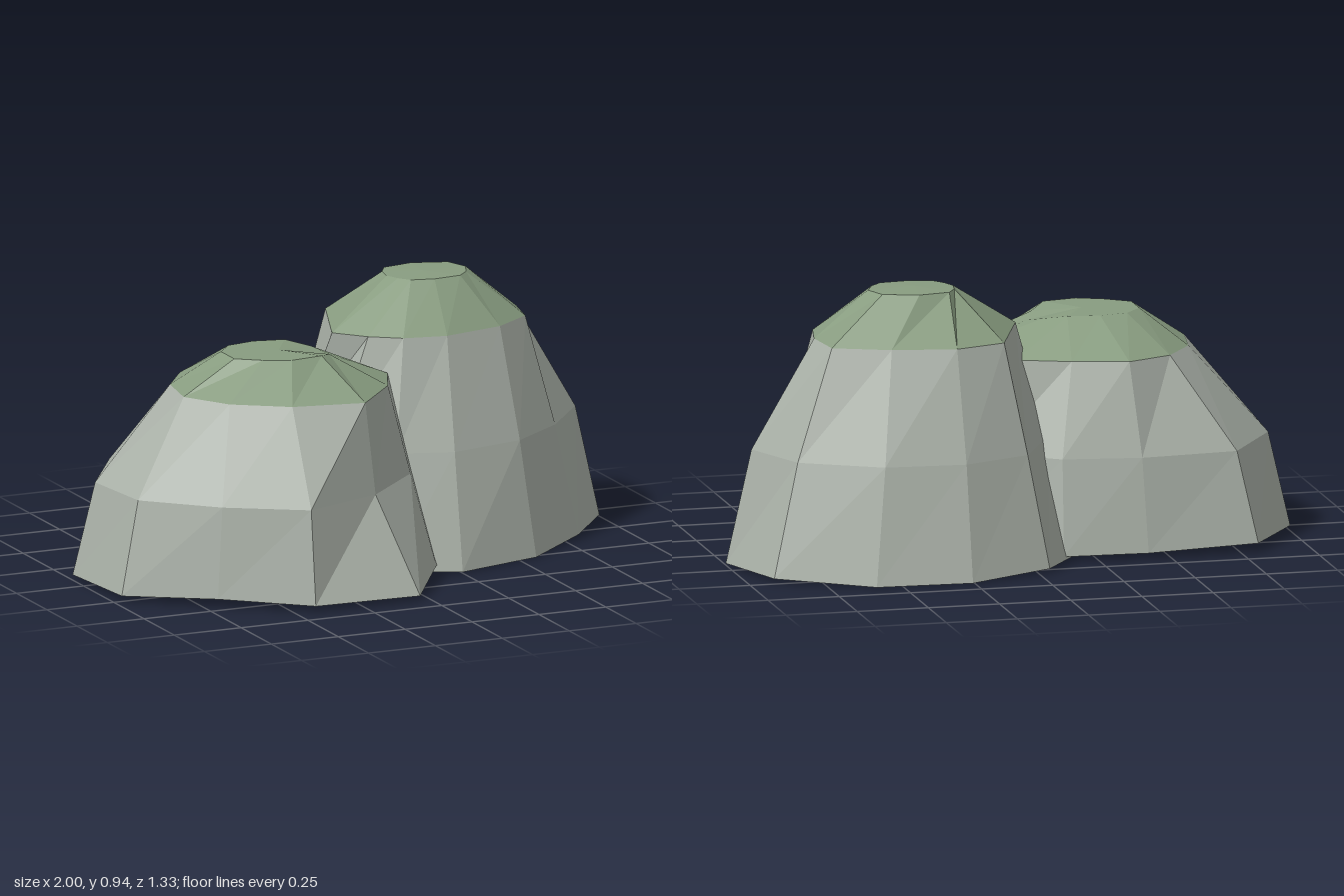
import * as THREE from 'three';

const mat = (name, color, side = THREE.FrontSide) => {
  const m = new THREE.MeshStandardMaterial({ color, side, flatShading: true });
  m.name = name;
  return m;
};

// Faceted surface through stacked rings of [x, z] points; optional lid at a given height
function facetedShell(rings, heights, lid) {
  const pos = [];
  const n = rings[0].length;
  const at = (r, i) => {
    const [x, z] = rings[r][i % n];
    return [x, typeof heights[r] === 'function' ? heights[r](i % n) : heights[r], z];
  };
  for (let r = 0; r < rings.length - 1; r++) {
    for (let i = 0; i < n; i++) {
      const a = at(r, i), b = at(r, i + 1), c = at(r + 1, i), d = at(r + 1, i + 1);
      pos.push(...a, ...c, ...b, ...b, ...c, ...d);
    }
  }
  if (lid) {
    const t = rings.length - 1;
    const centre = [0, lid, 0];
    rings[t].forEach(([x, z]) => { centre[0] += x / n; centre[2] += z / n; });
    for (let i = 0; i < n; i++) pos.push(...at(t, i), ...centre, ...at(t, i + 1));
  }
  const g = new THREE.BufferGeometry();
  g.setAttribute('position', new THREE.Float32BufferAttribute(pos, 3));
  g.computeVertexNormals();
  return g;
}

// Ring outlines run from +x towards +z
const lowBoulder = {
  name: 'lowBoulder',
  // The crown dips slightly towards the tall boulder
  heights: [
    i => 0.025 + 0.008 * Math.sin(i * 2), 0.345, 0.66,
    i => 0.78 - 0.035 * Math.max(0, Math.cos(i * 0.571)) ** 4,
  ],
  lid: 0.78,
  rings: [
    [[0.36, 0.06], [0.16, 0.35], [-0.04, 0.66], [-0.43, 0.66], [-0.71, 0.47], [-0.97, 0.25],
      [-1, -0.09], [-0.81, -0.4], [-0.42, -0.42], [-0.13, -0.39], [0.12, -0.2]],
    [[0.2, 0.07], [0.1, 0.27], [-0.13, 0.49], [-0.42, 0.6], [-0.68, 0.44], [-0.9, 0.23],
      [-0.93, -0.06], [-0.75, -0.34], [-0.41, -0.37], [-0.14, -0.33], [0.08, -0.17]],
    [[0.09, 0.1], [0.02, 0.26], [-0.15, 0.45], [-0.4, 0.4], [-0.58, 0.28], [-0.68, 0.12],
      [-0.65, -0.06], [-0.55, -0.2], [-0.39, -0.27], [-0.2, -0.22], [-0.02, -0.15]],
    [[-0.12, 0.09], [-0.15, 0.15], [-0.21, 0.22], [-0.33, 0.24], [-0.42, 0.2], [-0.5, 0.14],
      [-0.5, 0.03], [-0.44, -0.04], [-0.34, -0.06], [-0.23, -0.04], [-0.16, 0.02]],
  ],
};

const tallBoulder = {
  name: 'tallBoulder',
  heights: [i => 0.008 + 0.008 * Math.sin(i * 2), 0.4, 0.775, 0.933],
  lid: 0.938,
  rings: [
    [[1, -0.16], [0.81, 0.09], [0.57, 0.27], [0.25, 0.37], [0.02, 0.3], [-0.2, 0.08],
      [-0.25, -0.22], [-0.04, -0.55], [0.26, -0.67], [0.59, -0.64], [0.91, -0.48]],
    [[0.91, -0.16], [0.74, 0.05], [0.54, 0.2], [0.27, 0.26], [0.08, 0.2], [-0.08, 0.03],
      [-0.12, -0.2], [0.02, -0.48], [0.26, -0.58], [0.54, -0.56], [0.81, -0.41]],
    [[0.69, -0.16], [0.66, -0.02], [0.52, 0.08], [0.3, 0.13], [0.15, 0.1], [0.05, 0.03],
      [-0.04, -0.07], [0.08, -0.39], [0.26, -0.45], [0.48, -0.41], [0.67, -0.33]],
    [[0.5, -0.16], [0.47, -0.09], [0.43, -0.05], [0.33, -0.04], [0.25, -0.06], [0.22, -0.1],
      [0.2, -0.15], [0.21, -0.21], [0.24, -0.26], [0.35, -0.28], [0.47, -0.24]],
  ],
};

export function createModel() {
  const model = new THREE.Group();
  model.name = 'mossyBoulders';
  const stone = mat('stone', 0xaab1a8, THREE.DoubleSide);
  const moss = mat('moss', 0x889c80, THREE.DoubleSide);
  const wood = mat('wood', 0x7d5a48);

  // Hollow stone body, open below, with a moss cap
  for (const b of [lowBoulder, tallBoulder]) {
    const g = new THREE.Group();
    g.name = b.name;
    const body = new THREE.Mesh(facetedShell(b.rings.slice(0, 3), b.heights.slice(0, 3)), stone);
    body.name = 'stoneBody';
    const cap = new THREE.Mesh(facetedShell(b.rings.slice(2), b.heights.slice(2), b.lid), moss);
    cap.name = 'mossCap';
    g.add(body, cap);
    model.add(g);
  }

  // Flat stone slab hidden between the boulders
  const slab = new THREE.Mesh(new THREE.CylinderGeometry(0.19, 0.2, 0.03, 9), stone);
  slab.name = 'hiddenSlab';
  slab.position.set(-0.05, 0.1, 0.05);
  model.add(slab);

  // Log pieces inside the tall boulder: position, tilt about x and z, radius, length
  const logs = new THREE.Group();
  logs.name = 'hiddenLogs';
  [
    [0.32, 0.15, -0.16, 0.1, 0, 0.045, 0.16],
    [0.25, 0.18, -0.2, 0, 0.2, 0.048, 0.16],
    [0.18, 0.15, -0.26, 0.9, 0.5, 0.05, 0.15],
    [0.34, 0.11, -0.06, 0.5, -0.6, 0.045, 0.13],
    [0.02, 0.14, -0.22, 0.3, 0.6, 0.03, 0.14],
    [0.48, 0.15, -0.08, 0.4, 1.45, 0.018, 0.32],
    [0.33, 0.27, -0.2, 0, 0, 0.014, 0.3],
    [0.2, 0.27, -0.28, 0, 0, 0.014, 0.3],
  ].forEach(([x, y, z, rx, rz, r, len]) => {
    const log = new THREE.Mesh(new THREE.CylinderGeometry(r, r, len, 7), wood);
    log.name = 'log';
    log.position.set(x, y, z);
    log.rotation.set(rx, 0, rz);
    logs.add(log);
  });
  model.add(logs);
  return model;
}
